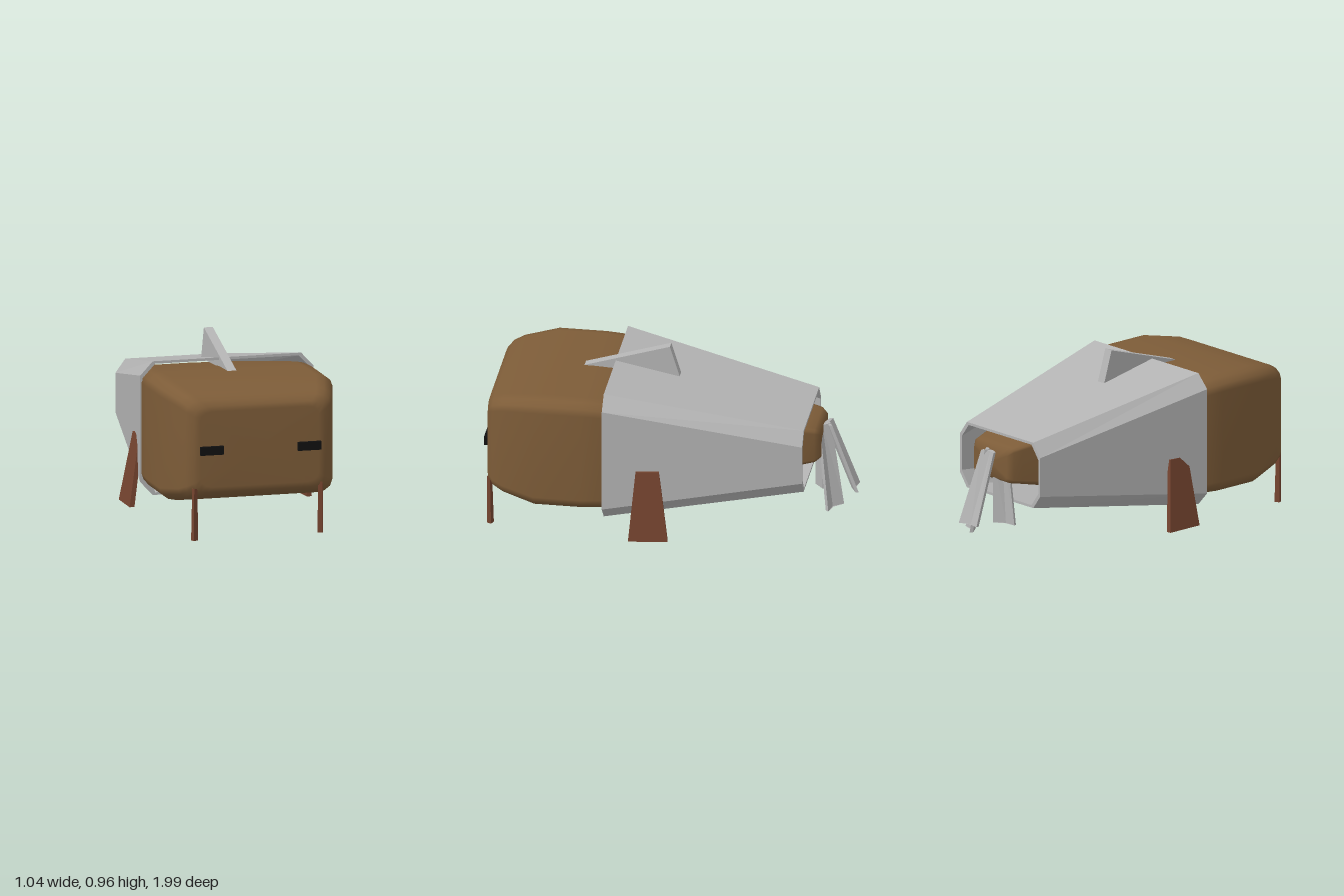
import * as THREE from 'three';

const mat = (name, color, side = THREE.FrontSide) => {
  const m = new THREE.MeshStandardMaterial({ color, side });
  m.name = name;
  return m;
};

// Skin between rings of [x, y, z]; ring 0 runs counter-clockwise seen from outside its end.
function loft(rings, { caps = true, smooth = false } = {}) {
  const n = rings[0].length, pos = rings.flat(2), idx = [];
  for (let i = 0; i < rings.length - 1; i++) {
    for (let j = 0; j < n; j++) {
      const k = (j + 1) % n;
      const a = i * n + j, b = i * n + k, c = a + n, d = b + n;
      idx.push(a, c, d, a, d, b);
    }
  }
  if (caps) {
    [0, rings.length - 1].forEach((r, end) => {
      const centre = pos.length / 3;
      for (let q = 0; q < 3; q++) pos.push(rings[r].reduce((s, p) => s + p[q], 0) / n);
      for (let j = 0; j < n; j++) {
        const a = r * n + j, b = r * n + (j + 1) % n;
        idx.push(centre, end ? b : a, end ? a : b);
      }
    });
  }
  let g = new THREE.BufferGeometry();
  g.setAttribute('position', new THREE.Float32BufferAttribute(pos, 3));
  g.setIndex(idx);
  if (!smooth) g = g.toNonIndexed();
  g.computeVertexNormals();
  return g;
}

// Rectangle with cut or rounded corners at depth z
function roundedRing(z, hw, y0, y1, rx, ry, steps) {
  const cy = (y0 + y1) / 2, hh = (y1 - y0) / 2, ring = [];
  [[1, 1], [-1, 1], [-1, -1], [1, -1]].forEach(([sx, sy], q) => {
    for (let s = 0; s <= steps; s++) {
      const a = (q + s / steps) * Math.PI / 2;
      ring.push([sx * (hw - rx) + rx * Math.cos(a), cy + sy * (hh - ry) + ry * Math.sin(a), z]);
    }
  });
  return ring;
}

// Four-cornered section of a leg, turned about y
function quadRing([x, y, z], w, d, yaw) {
  const c = Math.cos(yaw), s = Math.sin(yaw);
  return [[1, 1], [1, -1], [-1, -1], [-1, 1]].map(([i, k]) => {
    const u = i * w / 2, v = k * d / 2;
    return [x + u * c + v * s, y, z - u * s + v * c];
  });
}

// V-folded section of a tail plate, with its width along (ux, uz)
function foldRing([x, y, z], [ux, uz], w) {
  const f = 0.025, t = 0.018;
  return [[-w, 0], [0, -f], [w, 0], [w, t], [0, t - f], [-w, t]]
    .map(([u, n]) => [x + u * ux + n * uz, y, z + u * uz - n * ux]);
}

export function createModel() {
  const group = new THREE.Group();
  const brown = mat('brown hide', 0x7d5c38);
  const grey = mat('grey shell', 0xb4b4b4, THREE.DoubleSide);
  const rust = mat('rust brown legs', 0x75442f);
  const black = mat('black eyes', 0x111111);
  const add = (name, geometry, material) => {
    const m = new THREE.Mesh(geometry, material);
    m.name = name;
    group.add(m);
    return m;
  };

  // Body: z, half width, bottom, top
  const body = [
    [0.98, 0.33, 0.29, 0.705], [0.975, 0.365, 0.262, 0.732], [0.945, 0.405, 0.235, 0.762],
    [0.89, 0.43, 0.21, 0.785], [0.71, 0.484, 0.172, 0.819], [0.45, 0.484, 0.172, 0.819],
    [0.33, 0.478, 0.18, 0.813], [-0.2, 0.325, 0.28, 0.715],
    [-0.72, 0.168, 0.39, 0.608], [-0.77, 0.155, 0.4, 0.598], [-0.8, 0.13, 0.42, 0.575]
  ].map(([z, hw, y0, y1]) => roundedRing(z, hw, y0, y1, hw * 0.2, (y1 - y0) * 0.11, 3));
  add('body', loft(body, { smooth: true }), brown);

  // Open eight-sided shell with a thin wall
  const front = t => roundedRing(0.335, 0.485 - t, 0.125 + t, 0.86 - t, 0.07, 0.075, 1);
  const back = t => roundedRing(-0.73, 0.32 - t, 0.283 + t, 0.65 - t, 0.055, 0.075, 1);
  add('shell', loft([front(0), back(0), back(0.014), front(0.014), front(0)], { caps: false }), grey);

  // Back fin
  const fin = x => [[x, 0.82, 0.505], [x, 0.785, -0.015], [x, 0.965, 0.04]];
  add('backFin', loft([fin(0.005), fin(-0.045)]), grey);

  // Eyes
  for (const [x, y] of [[-0.27, 0.493], [0.275, 0.489]]) {
    const eye = add('eye', new THREE.BoxGeometry(0.13, 0.046, 0.04), black);
    eye.position.set(x, y, 0.98);
  }

  // Front legs
  for (const [x, y, yaw] of [[-0.36, 0, 0.4], [0.343, 0.005, -0.4]]) {
    add('frontLeg', loft([
      quadRing([x, 0.285, 0.968], 0.022, 0.018, yaw),
      quadRing([x, y, 0.963], 0.029, 0.024, yaw)
    ]), rust);
  }

  // Rear flippers
  for (const [top, bottom, yaw] of [
    [[0.447, 0.43, 0.093], [0.49, 0.035, 0.083], 0.13],
    [[-0.447, 0.43, 0.155], [-0.506, 0.046, 0.142], 0]
  ]) {
    add('rearFlipper', loft([
      quadRing(top, 0.022, 0.125, yaw),
      quadRing(bottom, 0.027, 0.213, yaw)
    ]), rust);
  }

  // Tail plates: top, bottom, width direction
  for (const [top, bottom, dir] of [
    [[-0.02, 0.57, -0.825], [-0.022, 0.187, -0.97], [0.995, -0.1]],
    [[0.03, 0.575, -0.8], [0.085, 0.115, -0.865], [0.84, 0.54]],
    [[-0.05, 0.55, -0.765], [-0.08, 0.165, -0.765], [0.93, -0.36]]
  ]) {
    add('tailPlate', loft([foldRing(top, dir, 0.045), foldRing(bottom, dir, 0.064)]), grey);
  }
  return group;
}
